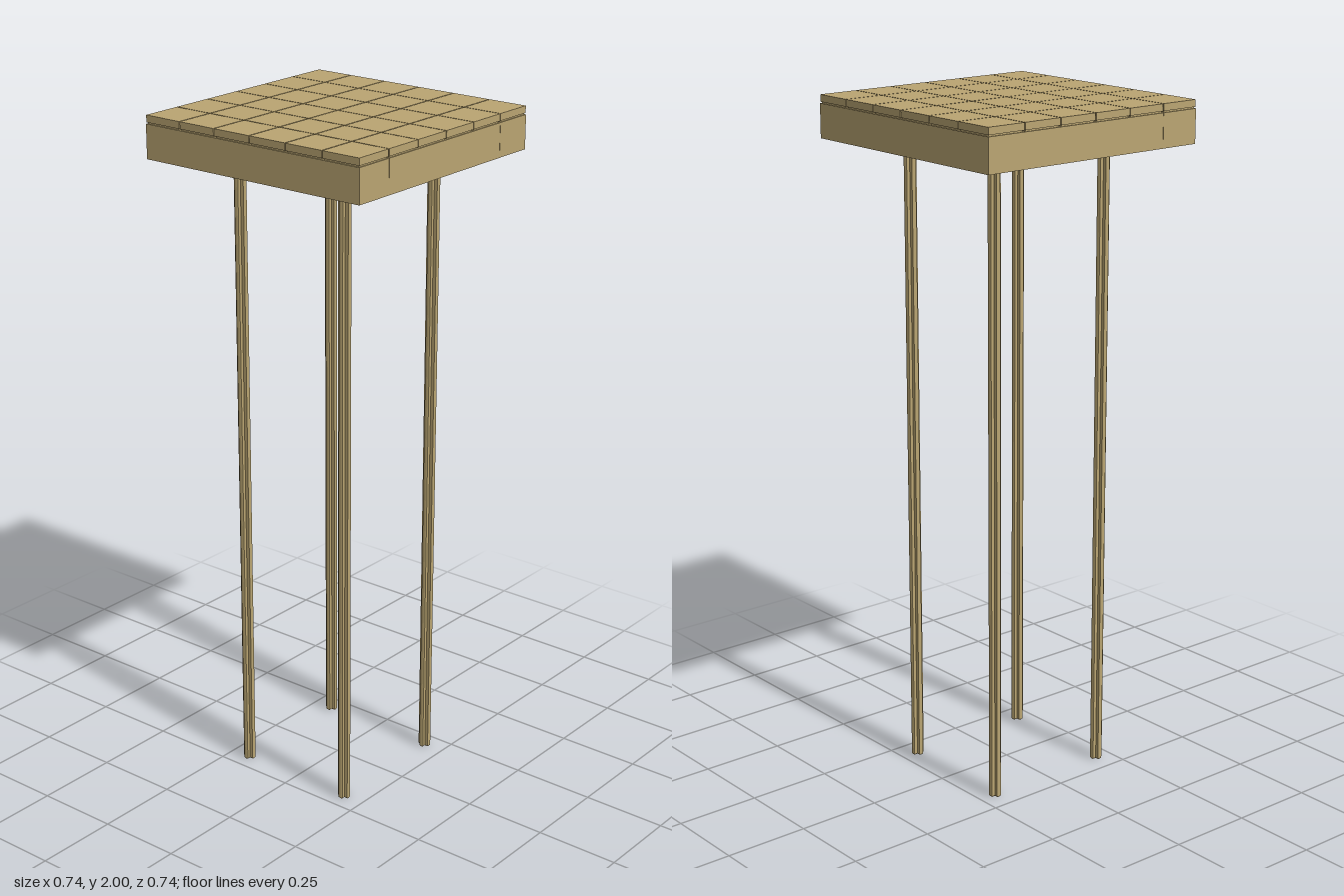
import * as THREE from 'three';

const S = 0.0618;            // stud pitch
const U = S / 20;            // fine unit
const TOP = 2;
const TILE = 8 * U;          // tile and plate thickness
const RIM_BOTTOM = 1.877;
const PLATE_TOP = TOP - TILE;
const PLATE_BOTTOM = PLATE_TOP - TILE;
const mat = new THREE.MeshStandardMaterial({ color: 0xbaa572 });

function rectPath(PathType, w, d) {
  return new PathType([[-1, -1], [1, -1], [1, 1], [-1, 1]]
    .map(([x, y]) => new THREE.Vector2(x * w / 2, y * d / 2)));
}

// Extrude a ground-plan shape straight up from y
function upright(name, shape, y, height, bevel = 0) {
  const geo = new THREE.ExtrudeGeometry(shape, {
    depth: height - 2 * bevel, bevelEnabled: bevel > 0, bevelThickness: bevel,
    bevelSize: bevel, bevelOffset: -bevel, bevelSegments: 1, curveSegments: 16,
  });
  geo.translate(0, 0, bevel);
  geo.rotateX(-Math.PI / 2);
  const mesh = new THREE.Mesh(geo, mat);
  mesh.name = name;
  mesh.position.y = y;
  return mesh;
}

function box(name, w, h, d, x, y, z) {
  const mesh = new THREE.Mesh(new THREE.BoxGeometry(w, h, d), mat);
  mesh.name = name;
  mesh.position.set(x, y, z);
  return mesh;
}

// Ring tube, open at the bottom
function tube(x, y, z, height) {
  const ro = 8.1 * U, ri = 6 * U;
  const profile = [[ri, height], [ri, 0], [ri, 0], [ro, 0], [ro, 0], [ro, height]]
    .map(([r, h]) => new THREE.Vector2(r, h));
  const mesh = new THREE.Mesh(new THREE.LatheGeometry(profile, 16),
    mat);
  mesh.name = 'undersideTube';
  mesh.position.set(x, y, z);
  return mesh;
}

// Hollow block nx by nz studs: walls, roof and tubes between the studs
function hollowBlock(name, nx, nz, x, z, bottom) {
  const g = new THREE.Group();
  g.name = name;
  const gap = 0.001, w = nx * S - gap, d = nz * S - gap;
  const height = PLATE_TOP - bottom, roof = 4 * U;
  const walls = rectPath(THREE.Shape, w, d);
  walls.holes.push(rectPath(THREE.Path, w - 8 * U, d - 8 * U));
  g.add(upright('walls', walls, bottom, height));
  g.add(box('roof', w - 7 * U, roof, d - 7 * U, 0, PLATE_TOP - roof / 2 - 0.0005, 0));
  for (let i = 1; i < nx; i++) {
    for (let k = 1; k < nz; k++) {
      g.add(tube((i - nx / 2) * S, bottom, (k - nz / 2) * S, height - roof));
    }
  }
  g.position.set(x, 0, z);
  return g;
}

// Cross-section of a leg: a plus with rounded arm ends
function crossShape() {
  const R = 6 * U, w = 2.2 * U, a = Math.asin(w / R), pts = [];
  for (let k = 0; k < 4; k++) {
    const t = k * Math.PI / 2;
    for (const f of [-1, -0.5, 0, 0.5, 1]) {
      pts.push(new THREE.Vector2(R * Math.cos(t + f * a), R * Math.sin(t + f * a)));
    }
    const c = t + Math.PI / 4, r = w * Math.SQRT2;
    pts.push(new THREE.Vector2(r * Math.cos(c), r * Math.sin(c)));
  }
  return new THREE.Shape(pts);
}

export function createModel() {
  const table = new THREE.Group();
  table.name = 'table';

  // Six by six square tiles, each with a small undercut at its foot
  const tiles = new THREE.Group();
  tiles.name = 'topTiles';
  const size = 2 * S - 0.003, foot = 1.4 * U;
  for (let i = 0; i < 6; i++) {
    for (let k = 0; k < 6; k++) {
      const x = (i - 2.5) * 2 * S, z = (k - 2.5) * 2 * S;
      tiles.add(box('tile', size, TILE - foot, size, x, TOP - (TILE - foot) / 2, z));
      tiles.add(box('tileFoot', size - 2 * U, foot, size - 2 * U, x, PLATE_TOP + foot / 2, z));
    }
  }
  table.add(tiles);

  // Rim: long blocks front and back, shorter ones between them
  for (const s of [-1, 1]) {
    table.add(hollowBlock(s > 0 ? 'frontRim' : 'backRim', 12, 2, 0, s * 5 * S, RIM_BOTTOM));
    table.add(hollowBlock(s > 0 ? 'leftRim' : 'rightRim', 2, 8, s * 5 * S, 0, RIM_BOTTOM));
  }

  // Recessed centre plates and the four legs
  for (const sx of [-1, 1]) {
    for (const sz of [-1, 1]) {
      table.add(hollowBlock('centrePlate', 4, 4, sx * 2 * S, sz * 2 * S, PLATE_BOTTOM));
      const leg = upright((sz > 0 ? 'front' : 'back') + (sx > 0 ? 'Left' : 'Right') + 'Leg',
        crossShape(), 0, PLATE_TOP - 2 * U, 0.003);
      leg.position.x = sx * 0.185;
      leg.position.z = sz * 0.198;
      table.add(leg);
    }
  }
  return table;
}
